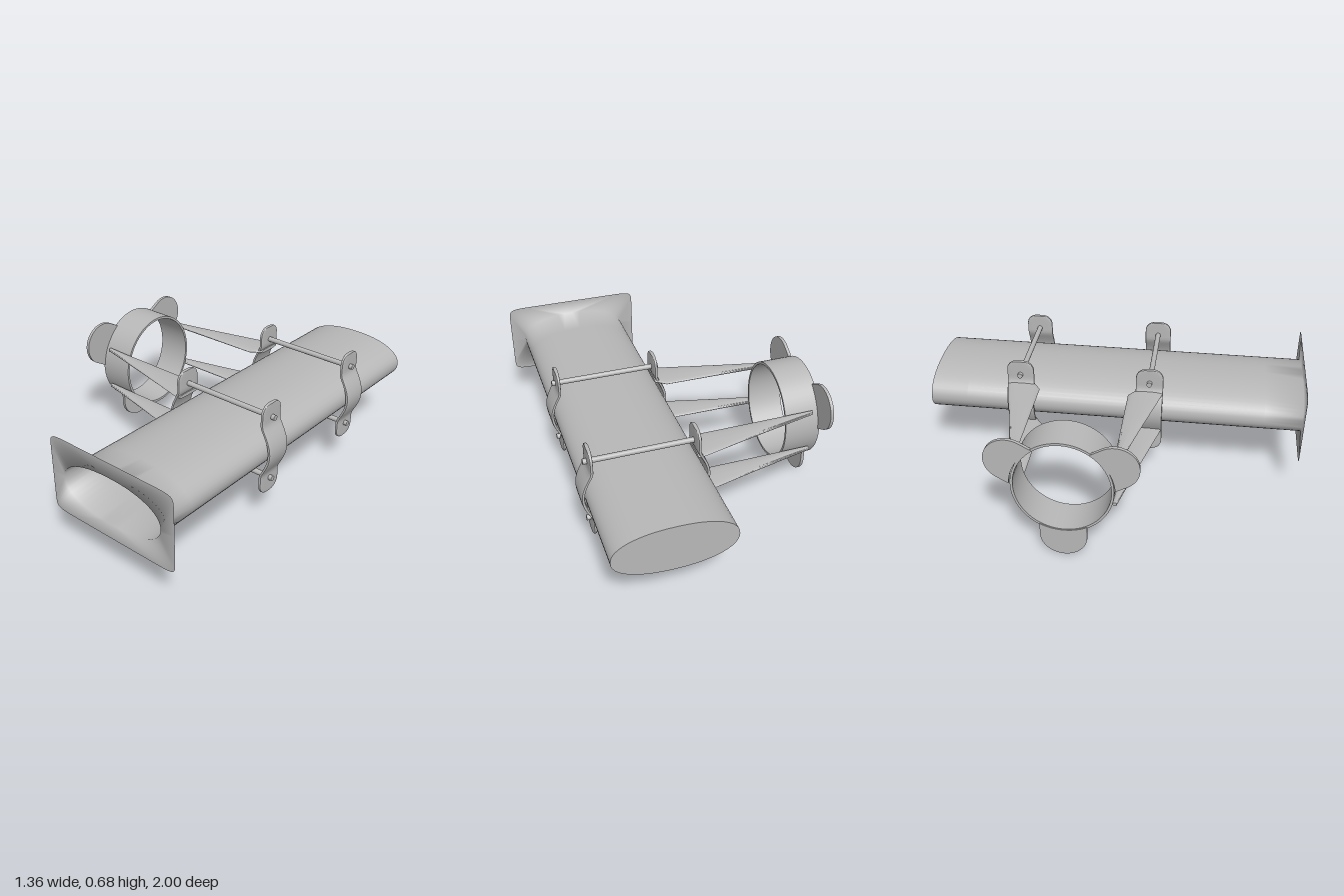
import * as THREE from 'three';
import { toCreasedNormals } from 'three/addons/utils/BufferGeometryUtils.js';

const CX = 0.3, CY = 0.413, CZ = -0.155; // duct axis and ring centre

// Superellipse outline as [u, v] pairs, counter-clockwise
function outline(a, b, n, count) {
  const pow = (v) => Math.sign(v) * Math.abs(v) ** (2 / n);
  return Array.from({ length: count }, (_, i) => {
    const t = (i / count) * Math.PI * 2;
    return [a * pow(Math.cos(t)), b * pow(Math.sin(t))];
  });
}

// Skin over equal-length closed cross-sections of [x, y, z] points
function loft(sections, capped) {
  const n = sections[0].length, m = sections.length, index = [];
  for (let i = 0; i < m - 1; i++) {
    for (let j = 0; j < n; j++) {
      const k = (j + 1) % n;
      const a = i * n + j, b = i * n + k, c = b + n, d = a + n;
      index.push(a, b, c, a, c, d);
    }
  }
  if (capped) {
    const e = (m - 1) * n;
    for (let j = 1; j < n - 1; j++) index.push(0, j + 1, j, e, e + j, e + j + 1);
  }
  const geo = new THREE.BufferGeometry();
  geo.setAttribute('position', new THREE.Float32BufferAttribute(sections.flat(2), 3));
  geo.setIndex(index);
  geo.computeVertexNormals();
  return capped ? toCreasedNormals(geo, 0.7) : geo;
}

export function createModel() {
  const model = new THREE.Group();
  const grey = new THREE.MeshStandardMaterial({ color: 0xb8b8b8, side: THREE.DoubleSide });
  grey.name = 'plain grey';
  const add = (name, geo, parent = model) => {
    const mesh = new THREE.Mesh(geo, grey);
    mesh.name = name;
    parent.add(mesh);
    return mesh;
  };

  // Flattened duct, open at the front, running smoothly into a flat flange
  const duct = outline(0.298, 0.126, 2.2, 48);
  const flange = outline(0.376, 0.205, 14, 48);
  const at = (pts, z) => pts.map(([x, y]) => [CX + x, CY + y, z]);
  add('ductWithFlange', loft([at(duct, -1), at(duct, -0.8), at(duct, 0.8), at(duct, 1), at(flange, 1)], false));

  // Closed back end
  const endShape = new THREE.Shape(duct.map(([x, y]) => new THREE.Vector2(x, y)));
  const end = add('ductEnd', new THREE.ShapeGeometry(endShape).rotateY(Math.PI));
  end.position.set(CX, CY, -1);

  // Clamp plate: rounded ends, bowed outwards around the duct edge
  function clampGeometry(side, z0) {
    const half = 0.2475, r = 0.05, steps = 40, sections = [];
    for (let i = 0; i <= steps; i++) {
      const y = -half * Math.cos((i / steps) * Math.PI);
      const e = Math.min(r, half - Math.abs(y));
      const w = 0.0725 - r + Math.sqrt(Math.max(0, r * r - (r - e) ** 2));
      const s = Math.min(1, Math.abs(y) / 0.14);
      const off = 0.262 + 0.049 * (1 - s * s) ** 1.3;
      sections.push(outline(w, 0.009, 5, 20).map(([z, x]) => [CX + side * off + x, CY + y, z0 + z]));
    }
    return loft(sections, true);
  }

  // Flat arm: x station, inner and outer distance from the ring centre line
  const armStations = [
    [-0.63, 0.236, 0.256], [-0.3, 0.236, 0.335], [-0.01, 0.236, 0.408],
    [0.02, 0.258, 0.415], [0.045, 0.275, 0.415],
  ];
  function armGeometry(dir, y0) {
    return loft(armStations.map(([x, d0, d1]) =>
      outline(0.01, (d1 - d0) / 2, 2.5, 16).map(([y, z]) =>
        [x, y0 + y, CZ + dir * (d0 + d1) / 2 + z])), true);
  }

  // Two mirrored clamp sets, each with two plates, two tie rods and two arms
  for (const dir of [1, -1]) {
    const set = new THREE.Group();
    set.name = dir > 0 ? 'frontClamp' : 'backClamp';
    model.add(set);
    const z = CZ + dir * 0.345;
    for (const side of [1, -1]) {
      add('clampPlate', clampGeometry(side, z), set);
      const rod = add('tieRod', new THREE.CylinderGeometry(0.014, 0.014, 0.58, 16).rotateZ(Math.PI / 2), set);
      rod.position.set(CX, CY + side * 0.172, z);
      add('arm', armGeometry(dir, CY + side * 0.113), set);
    }
  }

  // Ring carried by the arms
  const holder = new THREE.Group();
  holder.name = 'ringHolder';
  holder.position.set(0, 0.41, CZ);
  model.add(holder);
  const profile = [[0.95, 0], [1, 0], [1, 0.19], [0.95, 0.19], [0.95, 0]].map(([r, y]) => new THREE.Vector2(r, y));
  const ring = new THREE.LatheGeometry(profile, 64).rotateZ(-Math.PI / 2).scale(1, 0.265, 0.25);
  add('ring', toCreasedNormals(ring, 0.6), holder).position.x = -0.68;

  // Three rounded tabs around the outer rim
  const w = 0.1175, inner = 0.255, phi = Math.asin(w / inner);
  const tab = new THREE.Shape();
  tab.absarc(0, -0.2925, w, Math.PI, Math.PI * 2, false);
  tab.absarc(0, 0, inner, -Math.PI / 2 + phi, -Math.PI / 2 - phi, true);
  tab.closePath();
  const tabGeo = new THREE.ExtrudeGeometry(tab, { depth: 0.017, bevelEnabled: false, curveSegments: 24 })
    .rotateY(Math.PI / 2);
  for (let i = 0; i < 3; i++) {
    const mesh = add('tab', tabGeo, holder);
    mesh.position.x = -0.684;
    mesh.rotation.x = (i * Math.PI * 2) / 3;
  }
  return model;
}
